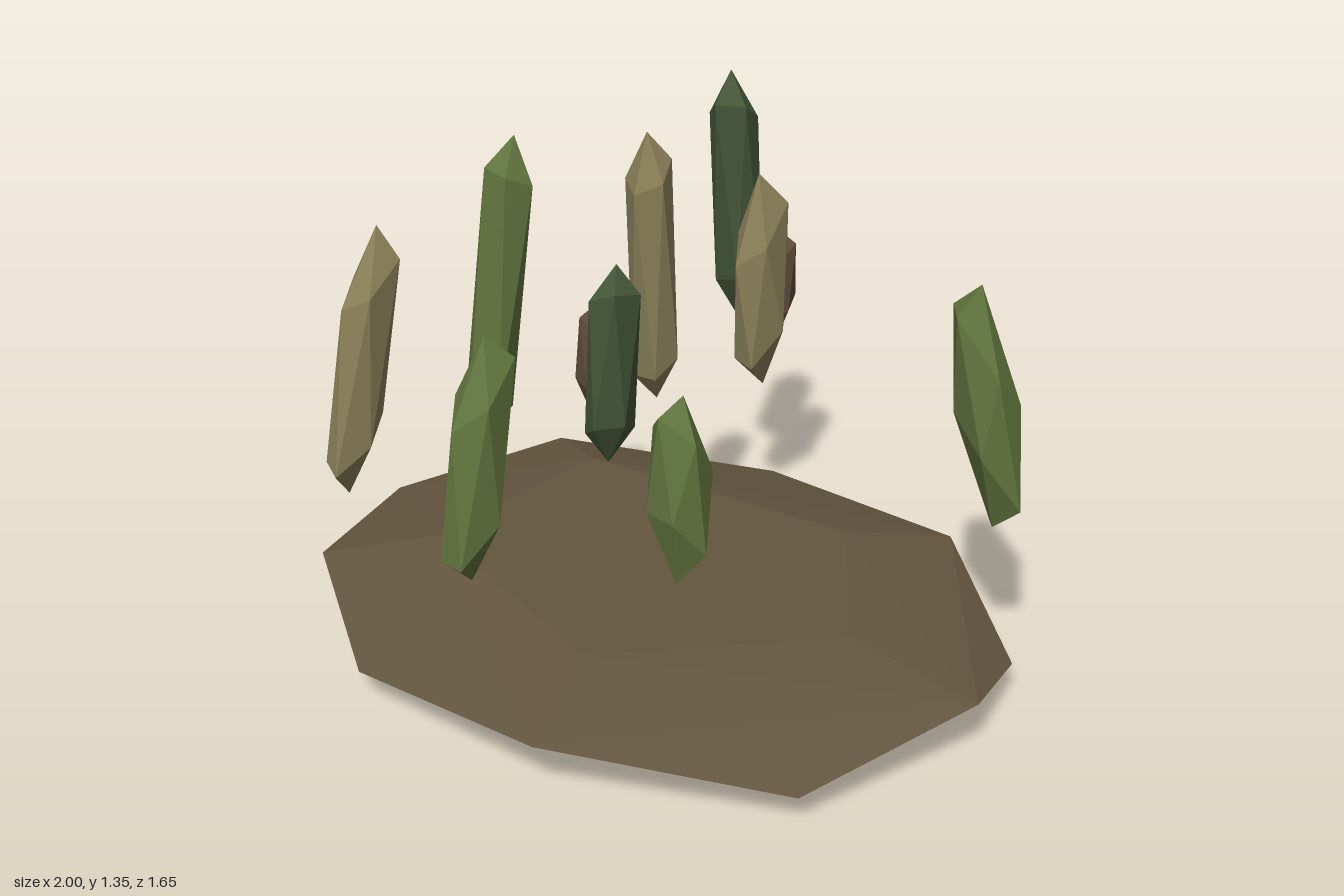
import * as THREE from 'three';
import { ConvexGeometry } from 'three/addons/geometries/ConvexGeometry.js';

const mat = (name, color) => {
  const m = new THREE.MeshStandardMaterial({ color });
  m.name = name;
  return m;
};

// Slab: flattened twelve-faced stone, rim corners alternate between high and low
function slabGeometry() {
  const high = [[1, -0.1], [0.41, 0.77], [-0.73, 0.58], [-0.87, -0.4], [0.41, -0.74]];
  const low = [[0.88, -0.4], [0.9, 0.41], [-0.21, 0.82], [-1, 0.13], [-0.31, -0.78]];
  const k = 0.63;
  const pts = [];
  for (const [x, z] of high) {
    pts.push(new THREE.Vector3(x, 0.135 + 0.012 * x, z));
    pts.push(new THREE.Vector3(x * k, 0.2 - 0.012 * x, z * k));
  }
  for (const [x, z] of low) {
    pts.push(new THREE.Vector3(x, 0.08, z));
    pts.push(new THREE.Vector3(x * k, 0.011 - 0.012 * x, z * k));
  }
  return new ConvexGeometry(pts);
}

// Crystal: two opposite points and two five-sided shoulders, point-symmetric.
// half: half height, lean: offset of the tip, shoulder and tilt: fractions of half,
// dir: side on which the shoulder rises
function crystalGeometry({ half, lean, rx, rz, shoulder, tilt, dir, phase }) {
  const pts = [];
  const addPair = (x, h, z) => {
    const p = new THREE.Vector3(x + lean[0] * h, h * half, z + lean[1] * h);
    pts.push(p, p.clone().negate());
  };
  addPair(0, 1, 0);
  for (let i = 0; i < 5; i++) {
    const a = phase + (i * Math.PI * 2) / 5;
    addPair(rx * Math.cos(a), shoulder + tilt * Math.cos(a - dir), rz * Math.sin(a));
  }
  return new ConvexGeometry(pts);
}

export function createModel() {
  const group = new THREE.Group();
  group.name = 'floatingCrystals';
  const earth = mat('earth brown', 0x64563f);
  const green = mat('moss green', 0x62753f);
  const dark = mat('dark green', 0x465838);
  const khaki = mat('khaki', 0x8c815a);
  const brown = mat('bark brown', 0x604d3b);

  const slab = new THREE.Mesh(slabGeometry(), earth);
  slab.name = 'groundSlab';
  group.add(slab);

  // material, centre, half height, lean, rx, rz, shoulder, tilt, rise direction, phase
  const crystals = [
    [dark, [-0.35, 0.97, -0.64], 0.385, [0.01, 0.04], 0.075, 0.068, 0.68, 0.1, 1, 0.3],
    [green, [-0.275, 0.943, 0.287], 0.397, [0.025, -0.044], 0.068, 0.064, 0.74, 0.06, 2, 0.9],
    [khaki, [-0.155, 0.928, -0.128], 0.383, [0.025, 0.04], 0.068, 0.06, 0.7, 0.12, -1.6, 0.2],
    [khaki, [-0.36, 0.82, 0.65], 0.35, [0.03, -0.045], 0.058, 0.072, 0.62, 0.2, -1.6, 0.5],
    [green, [0.075, 0.7, 0.638], 0.3, [-0.005, -0.035], 0.064, 0.082, 0.58, 0.28, -1.6, 0.3],
    [green, [0.29, 0.55, 0.195], 0.24, [-0.015, -0.025], 0.078, 0.082, 0.5, 0.36, 1.6, 0.3],
    [green, [0.745, 0.735, -0.4], 0.315, [-0.03, 0.015], 0.082, 0.082, 0.45, 0.42, 2.4, 0.5],
    [dark, [-0.205, 0.67, -0.03], 0.29, [0.02, 0], 0.066, 0.075, 0.66, 0.12, 0.5, 0.7],
    [khaki, [-0.215, 0.765, -0.607], 0.325, [0.01, 0.028], 0.065, 0.095, 0.5, 0.3, -1.6, 0.4],
    [brown, [-0.42, 0.895, -0.775], 0.163, [0.005, 0.01], 0.052, 0.052, 0.55, 0.34, 2.6, 0.2],
    [brown, [-0.252, 0.722, -0.717], 0.17, [0.005, 0.01], 0.053, 0.055, 0.52, 0.3, -1, 0.8],
    [brown, [-0.315, 0.64, -0.065], 0.17, [0.01, 0], 0.053, 0.053, 0.55, 0.28, 2, 0.5],
  ];
  crystals.forEach(([material, pos, half, lean, rx, rz, shoulder, tilt, dir, phase], i) => {
    const mesh = new THREE.Mesh(
      crystalGeometry({ half, lean, rx, rz, shoulder, tilt, dir, phase }), material);
    mesh.position.set(...pos);
    mesh.name = `crystal${i + 1}`;
    group.add(mesh);
  });
  return group;
}
